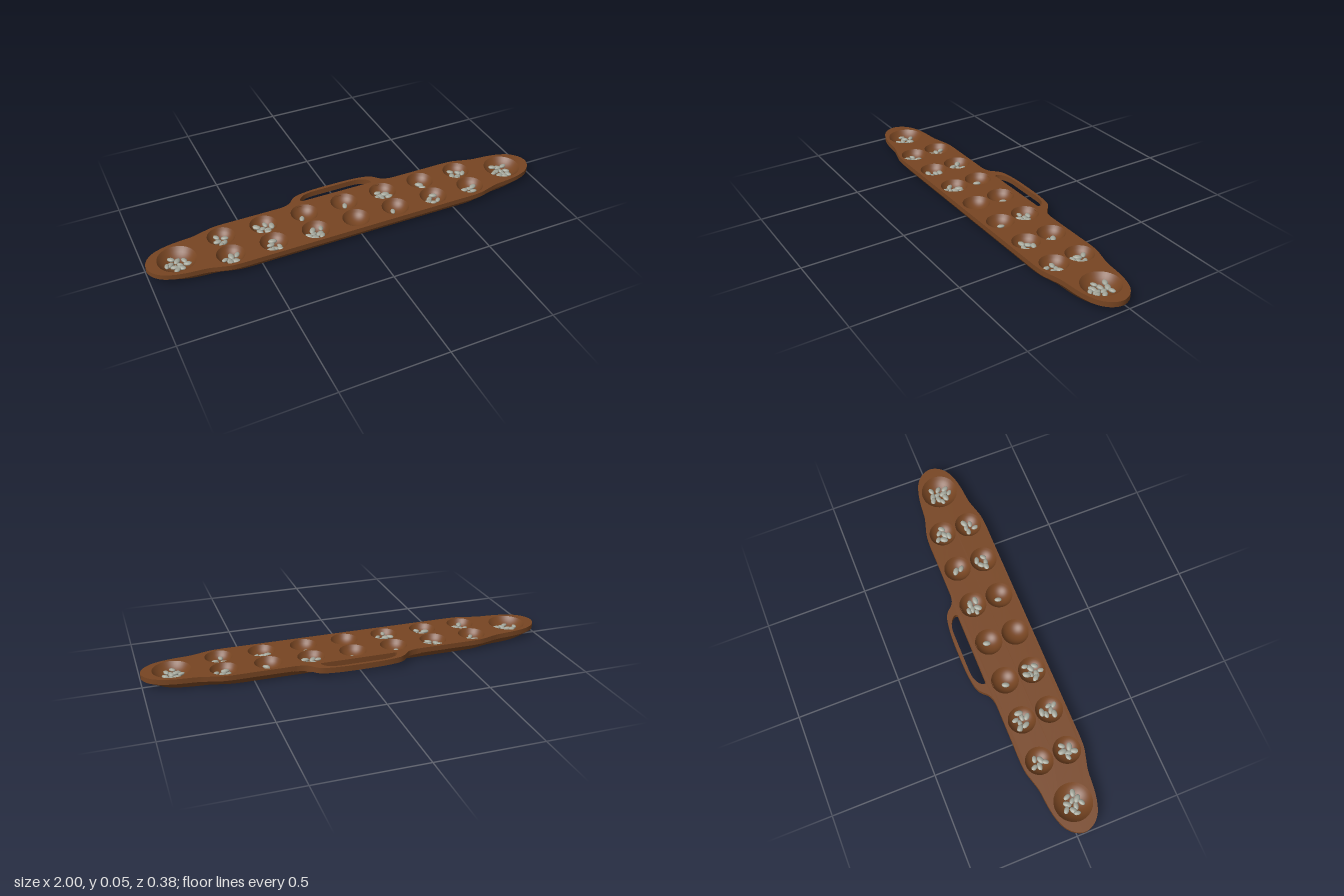
import * as THREE from 'three';
import { toCreasedNormals } from 'three/addons/utils/BufferGeometryUtils.js';

const wood = new THREE.MeshStandardMaterial({ name: 'brown wood', color: 0x774522, side: THREE.DoubleSide });
const stone = new THREE.MeshStandardMaterial({ name: 'grey stone', color: 0xa3a69a });

const TOP = 0.055;
const V = (x, y) => new THREE.Vector2(x, y);

// small seeded generator for the scattered stones
let seed = 11;
const rand = () => (seed = (seed * 16807) % 2147483647) / 2147483647;

function mesh(name, geometry, material = wood) {
  const m = new THREE.Mesh(geometry, material);
  m.name = name;
  return m;
}

// symmetric board outline, built from one quarter
function boardOutline() {
  const q = [[0.985, 0.045], [0.95, 0.079], [0.9, 0.1], [0.84, 0.112], [0.75, 0.121],
    [0.7, 0.134], [0.65, 0.147], [0.6, 0.151], [0.5, 0.151]];
  const back = [...q].reverse();
  const pts = [[1, 0], ...q, ...back.map(([x, y]) => [-x, y]), [-1, 0],
    ...q.map(([x, y]) => [-x, -y]), ...back.map(([x, y]) => [x, -y])];
  const curve = new THREE.CatmullRomCurve3(pts.map(([x, y]) => new THREE.Vector3(x, y, 0)), true);
  return curve.getPoints(160).slice(0, -1).map((p) => V(p.x, p.y));
}

// upright rim followed by an inward chamfer
function wallGeometry(outline) {
  const rings = [[TOP, 1, 1], [0.03, 1, 1], [0, 0.935, 0.85]];
  const n = outline.length, pos = [], idx = [];
  for (const [y, sx, sz] of rings) for (const p of outline) pos.push(p.x * sx, y, -p.y * sz);
  for (let r = 0; r < rings.length - 1; r++) {
    for (let i = 0; i < n; i++) {
      const a = r * n + i, b = r * n + (i + 1) % n;
      idx.push(a, a + n, b, b, a + n, b + n);
    }
  }
  const g = new THREE.BufferGeometry();
  g.setAttribute('position', new THREE.Float32BufferAttribute(pos, 3));
  g.setIndex(idx);
  return toCreasedNormals(g, 0.5);
}

// pits: x, z, radius, depth, number of stones
const pits = [[-0.858, 0, 0.09, 0.046, 10], [0.858, 0, 0.09, 0.046, 11]];
const backRow = [5, 7, 1, 1, 6, 2, 6];
const frontRow = [6, 6, 8, 0, 1, 5, 5];
for (let i = 0; i < 7; i++) {
  const x = (i - 3) * 0.209;
  pits.push([x, -0.069, 0.066, 0.042, backRow[i]], [x, 0.069, 0.066, 0.042, frontRow[i]]);
}

// height of the round bowl at distance d from its centre
function bowlHeight(d, r, depth) {
  const R = (r * r + depth * depth) / (2 * depth);
  return TOP - depth + R - Math.sqrt(R * R - d * d);
}

function addPit(group, [x, z, r, depth, count], stoneGeometry) {
  const pit = new THREE.Group();
  pit.name = r > 0.08 ? 'store' : 'pit';
  pit.position.set(x, 0, z);
  const profile = [];
  for (let i = 10; i >= 0; i--) profile.push(V(r * i / 10, bowlHeight(r * i / 10, r, depth)));
  pit.add(mesh('bowl', new THREE.LatheGeometry(profile, 40)));

  // stones spread in a loose spiral on the bowl floor
  const turn = rand() * 6.28;
  for (let i = 0; i < count; i++) {
    const d = 0.016 * Math.sqrt(i + 0.3 + rand() * 0.4);
    const a = turn + i * 2.4 + rand() * 0.4;
    const s = 0.85 + rand() * 0.3;
    const pebble = mesh('stone', stoneGeometry, stone);
    pebble.scale.set(0.02 * s, 0.008 * s, 0.0125 * s);
    pebble.position.set(d * Math.cos(a), bowlHeight(d, r, depth) + 0.007, d * Math.sin(a));
    pebble.rotation.y = rand() * 6.28;
    pit.add(pebble);
  }
  group.add(pit);
}

// curved grip on the back edge with a long finger hole
function handleGeometry() {
  const s = new THREE.Shape();
  s.moveTo(-0.32, 0.146);
  s.lineTo(-0.32, 0.15);
  s.bezierCurveTo(-0.22, 0.153, -0.25, 0.19, -0.19, 0.212);
  s.bezierCurveTo(-0.13, 0.226, -0.06, 0.226, 0, 0.226);
  s.bezierCurveTo(0.06, 0.226, 0.13, 0.226, 0.19, 0.212);
  s.bezierCurveTo(0.25, 0.19, 0.22, 0.153, 0.32, 0.15);
  s.lineTo(0.32, 0.146);
  const h = new THREE.Path();
  h.moveTo(-0.185, 0.158);
  h.lineTo(0.185, 0.158);
  h.bezierCurveTo(0.2, 0.165, 0.18, 0.21, 0.1, 0.21);
  h.lineTo(-0.1, 0.21);
  h.bezierCurveTo(-0.18, 0.21, -0.2, 0.165, -0.185, 0.158);
  s.holes.push(h);
  const g = new THREE.ExtrudeGeometry(s, { depth: 0.028, bevelEnabled: false, curveSegments: 14 });
  return toCreasedNormals(g.rotateX(-Math.PI / 2).translate(0, TOP - 0.028, 0), 0.6);
}

// block under the handle that carries it down the chamfer
function handleRootGeometry() {
  const s = new THREE.Shape([V(-0.28, 0.13), V(0.28, 0.13), V(0.2, 0.155), V(-0.2, 0.155)]);
  const g = new THREE.ExtrudeGeometry(s, { depth: 0.04, bevelEnabled: false });
  return g.rotateX(-Math.PI / 2).translate(0, 0.01, 0);
}

export function createModel() {
  const model = new THREE.Group();
  model.name = 'pitAndPebbleBoard';
  const board = new THREE.Group();
  board.name = 'board';
  board.position.z = 0.037;
  model.add(board);

  const outline = boardOutline();

  // top face with a round opening for every pit
  const face = new THREE.Shape(outline);
  for (const [x, z, r] of pits) {
    face.holes.push(new THREE.Path().absarc(x, -z, r, 0, Math.PI * 2, true));
  }
  board.add(mesh('topFace', new THREE.ShapeGeometry(face, 20).rotateX(-Math.PI / 2).translate(0, TOP, 0)));

  // side wall and underside
  board.add(mesh('sideWall', wallGeometry(outline)));
  const base = new THREE.Shape(outline.map((p) => V(p.x * 0.935, p.y * 0.85)));
  board.add(mesh('underside', new THREE.ShapeGeometry(base).rotateX(Math.PI / 2)));

  // handle
  board.add(mesh('handle', handleGeometry()));
  board.add(mesh('handleRoot', handleRootGeometry()));

  // bowls and stones
  const stoneGeometry = new THREE.SphereGeometry(1, 10, 7);
  for (const p of pits) addPit(board, p, stoneGeometry);
  return model;
}
